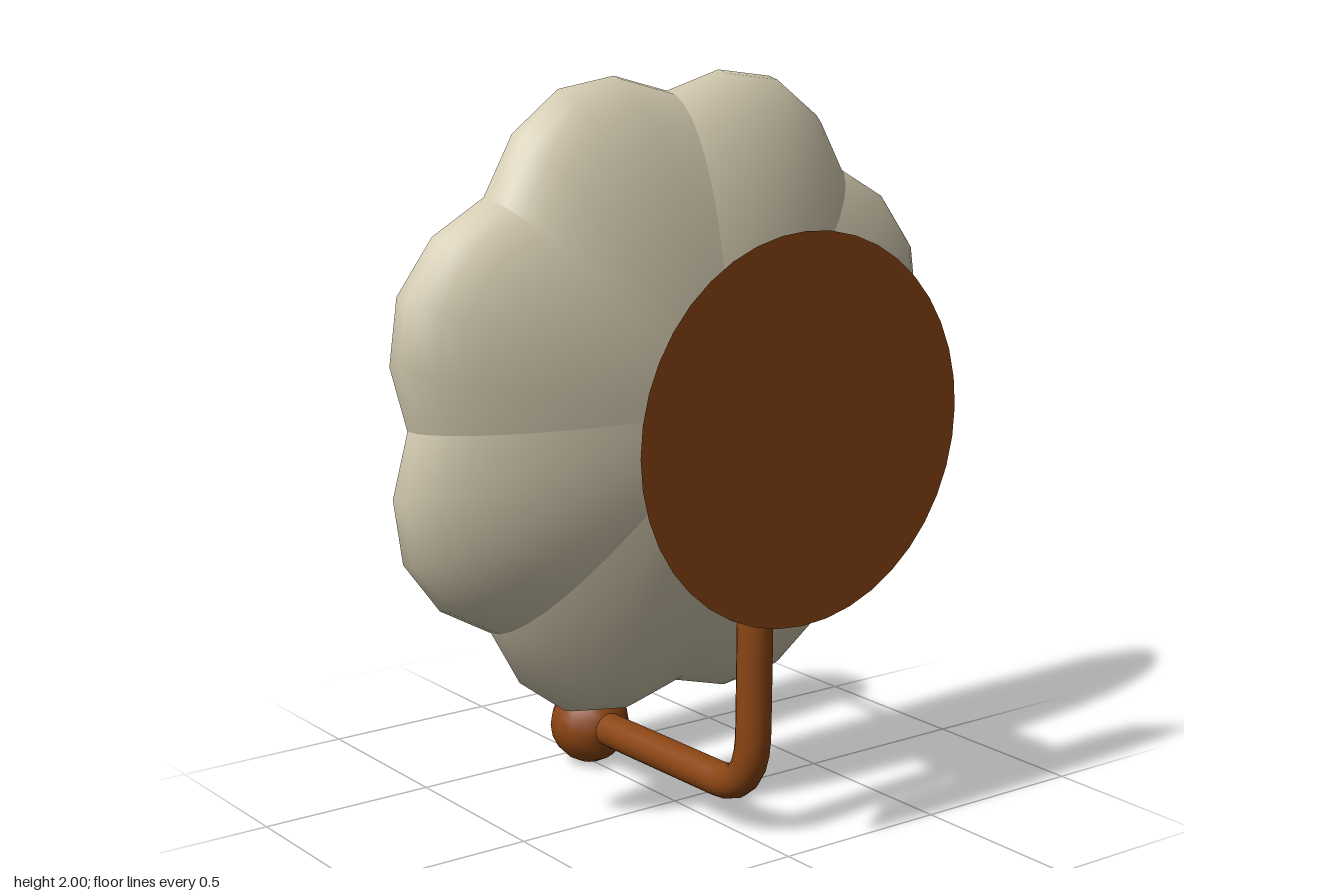
import * as THREE from 'three';
import { toCreasedNormals, mergeGeometries } from 'three/addons/utils/BufferGeometryUtils.js';

const brown = new THREE.MeshStandardMaterial({ color: 0x8b4513 });
const cream = new THREE.MeshStandardMaterial({ color: 0xcfc6ac });
const blue = new THREE.MeshStandardMaterial({ color: 0x0fc8ff });

const DISH_Y = 1.15; // height of the dish centre
const AXIS_Y = 1.147; // height of plate, hub, flange and rod
const LAMP_Z = -0.413; // depth of the lamp column

function part(name, geometry, material) {
  const mesh = new THREE.Mesh(geometry, material);
  mesh.name = name;
  return mesh;
}

// Turned shape from [radius, height] pairs, listed bottom to top
function turned(profile, sides) {
  const points = profile.map(([r, h]) => new THREE.Vector2(r, h));
  return toCreasedNormals(new THREE.LatheGeometry(points, sides), 0.6);
}

// Turned around the vertical lamp axis
function lampPart(name, profile, material, sides) {
  return part(name, turned(profile, sides).translate(0, 0, LAMP_Z), material);
}

// Turned around the horizontal axis; heights become z
function axisPart(name, profile, sides) {
  return part(name, turned(profile, sides).rotateX(Math.PI / 2).translate(0, AXIS_Y, 0), brown);
}

// One strip of a dish lobe; profile(v) gives [radius scale, z] for v in 0..1
function lobeStrip(start, rows, profile) {
  const geometry = new THREE.PlaneGeometry(1, 1, 4, rows);
  const pos = geometry.attributes.position;
  for (let i = 0; i < pos.count; i++) {
    const angle = start + (pos.getX(i) + 0.5) * Math.PI / 4;
    const [scale, z] = profile(pos.getY(i) + 0.5);
    const r = scale * (0.804 + 0.09 * Math.abs(Math.sin(4 * angle)));
    pos.setXYZ(i, r * Math.cos(angle), DISH_Y + r * Math.sin(angle), z);
  }
  geometry.computeVertexNormals();
  return geometry;
}

// Scalloped dish: eight lobes, each with outer shell, rim and inner shell
function dishGeometry() {
  const outer = (v) => {
    const a = v * Math.PI / 2;
    return [Math.cos(a), -0.035 + 0.28 * Math.sin(a)];
  };
  const rim = (v) => [0.88 + 0.12 * v, -0.068 + 0.033 * v];
  const inner = (v) => {
    const a = (1 - v) * Math.PI / 2;
    return [0.88 * Math.cos(a), -0.068 + 0.235 * Math.sin(a)];
  };
  const strips = [];
  for (let i = 0; i < 8; i++) {
    const start = i * Math.PI / 4;
    strips.push(lobeStrip(start, 12, outer), lobeStrip(start, 1, rim), lobeStrip(start, 12, inner));
  }
  return mergeGeometries(strips);
}

export function createModel() {
  const model = new THREE.Group();
  model.name = 'wallLamp';

  // Mounting plate and hub
  model.add(axisPart('mountingPlate', [[0, 0.452], [0.4, 0.452], [0.506, 0.547], [0, 0.547]], 40));
  model.add(axisPart('hub', [[0.158, 0.22], [0.158, 0.46]], 32));

  // Dish with its inner flange and rod
  model.add(part('dish', dishGeometry(), cream));
  model.add(axisPart('flange', [[0, 0.105], [0.05, 0.11], [0.08, 0.125], [0.08, 0.145], [0.045, 0.17]], 16));
  model.add(axisPart('rod', [[0.019, LAMP_Z], [0.019, 0.15]], 16));

  // Bent arm from the hub to the ball
  const v = (y, z) => new THREE.Vector3(0, y, z);
  const path = new THREE.CurvePath();
  path.add(new THREE.LineCurve3(v(1.05, 0.358), v(0.3, 0.348)));
  path.add(new THREE.CubicBezierCurve3(v(0.3, 0.348), v(0.19, 0.346), v(0.128, 0.3), v(0.126, 0.2)));
  path.add(new THREE.LineCurve3(v(0.126, 0.2), v(0.118, LAMP_Z)));
  model.add(part('arm', new THREE.TubeGeometry(path, 40, 0.048, 16), brown));

  // Ball under the lamp
  model.add(part('ball', new THREE.SphereGeometry(0.114, 14, 10).translate(0, 0.114, LAMP_Z), brown));

  // Lamp column
  model.add(lampPart('neck', [[0.025, 0.2], [0.025, 0.306], [0.05, 0.306], [0.05, 0.339]], brown, 16));
  model.add(lampPart('lampBase', [[0, 0.339], [0.134, 0.339], [0.134, 0.376], [0, 0.376]], brown, 16));
  model.add(lampPart('lampTube', [[0, 0.376], [0.133, 0.376], [0.133, 1.11], [0, 1.11]], blue, 16));
  model.add(lampPart('lampCap', [
    [0, 1.12], [0.134, 1.12], [0.134, 1.17], [0.1, 1.203],
    [0.042, 1.23], [0.013, 1.268], [0, 1.275],
  ], brown, 14));
  return model;
}
